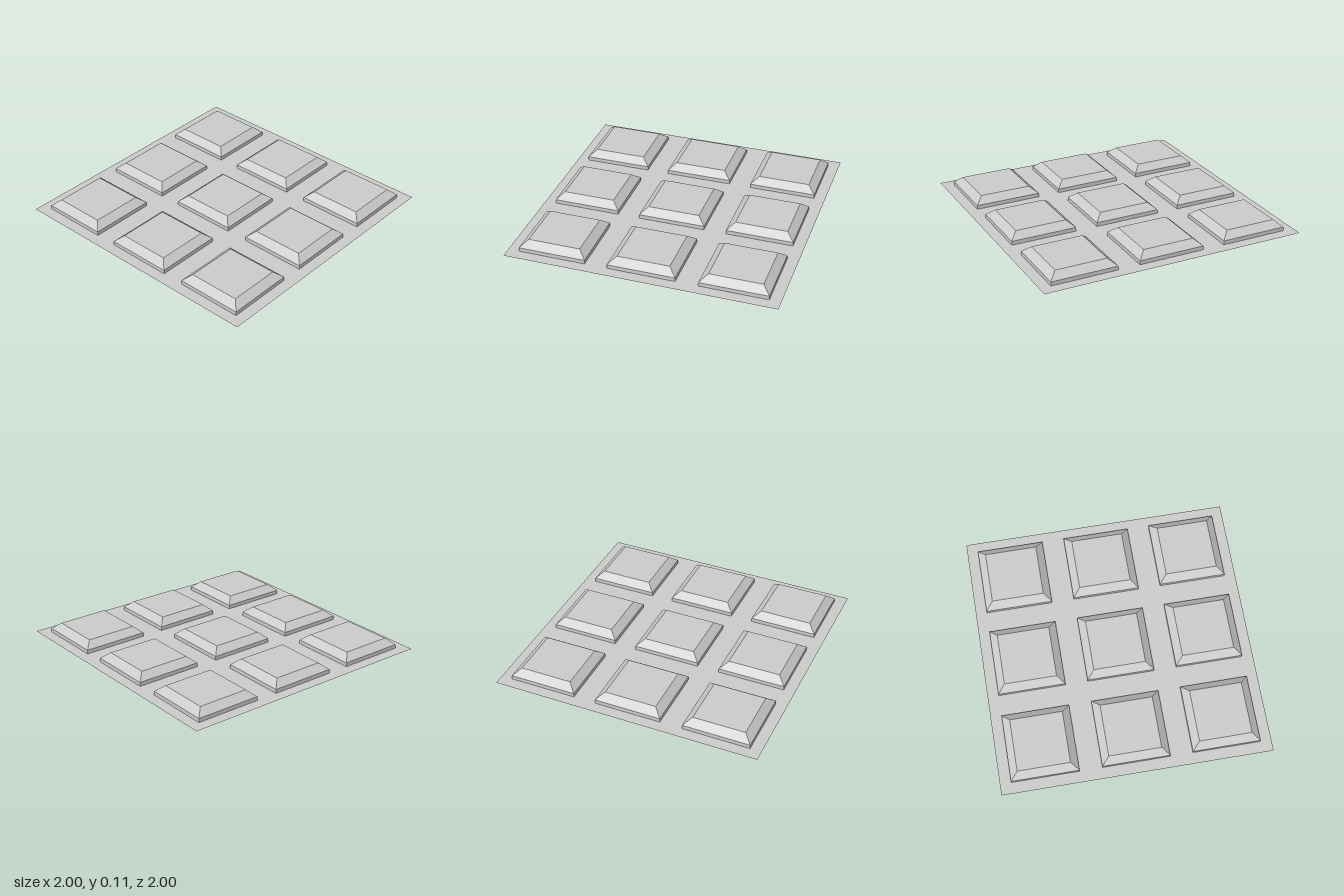
import * as THREE from 'three';

const PITCH = 2 / 3;     // spacing of the tiles
const HALF = 0.25;       // half width of a tile
const INSET = 0.056;     // horizontal width of the bevel
const WALL_TOP = 0.06;
const TOP = 0.108;
const SHEET_Y = 0.03;    // the sheet cuts the tile walls at mid height

// Square block with a bevelled top: a four-sided lathe turned to face the axes
function bevelledTileGeometry() {
  const outer = HALF * Math.SQRT2;
  const inner = (HALF - INSET) * Math.SQRT2;
  const profile = [[0, 0], [outer, 0], [outer, WALL_TOP], [inner, TOP], [0, TOP]]
    .map(([r, y]) => new THREE.Vector2(r, y));
  const geometry = new THREE.LatheGeometry(profile, 4, Math.PI / 4).toNonIndexed();
  geometry.computeVertexNormals();
  return geometry;
}

export function createModel() {
  const model = new THREE.Group();
  model.name = 'tiledPanel';

  // Thin backing sheet, seen from both sides
  const sheet = new THREE.Mesh(
    new THREE.PlaneGeometry(2, 2).rotateX(-Math.PI / 2),
    new THREE.MeshStandardMaterial({ color: 0xcccccc, side: THREE.DoubleSide })
  );
  sheet.name = 'backingSheet';
  sheet.position.y = SHEET_Y;
  model.add(sheet);

  // Three by three grid of bevelled tiles
  const tiles = new THREE.Group();
  tiles.name = 'tiles';
  const geometry = bevelledTileGeometry();
  const material = new THREE.MeshStandardMaterial({ color: 0xcccccc, flatShading: true });
  for (let row = -1; row <= 1; row++) {
    for (let column = -1; column <= 1; column++) {
      const tile = new THREE.Mesh(geometry, material);
      tile.name = 'bevelledTile';
      tile.position.set(column * PITCH, 0, row * PITCH);
      tiles.add(tile);
    }
  }
  model.add(tiles);

  return model;
}
